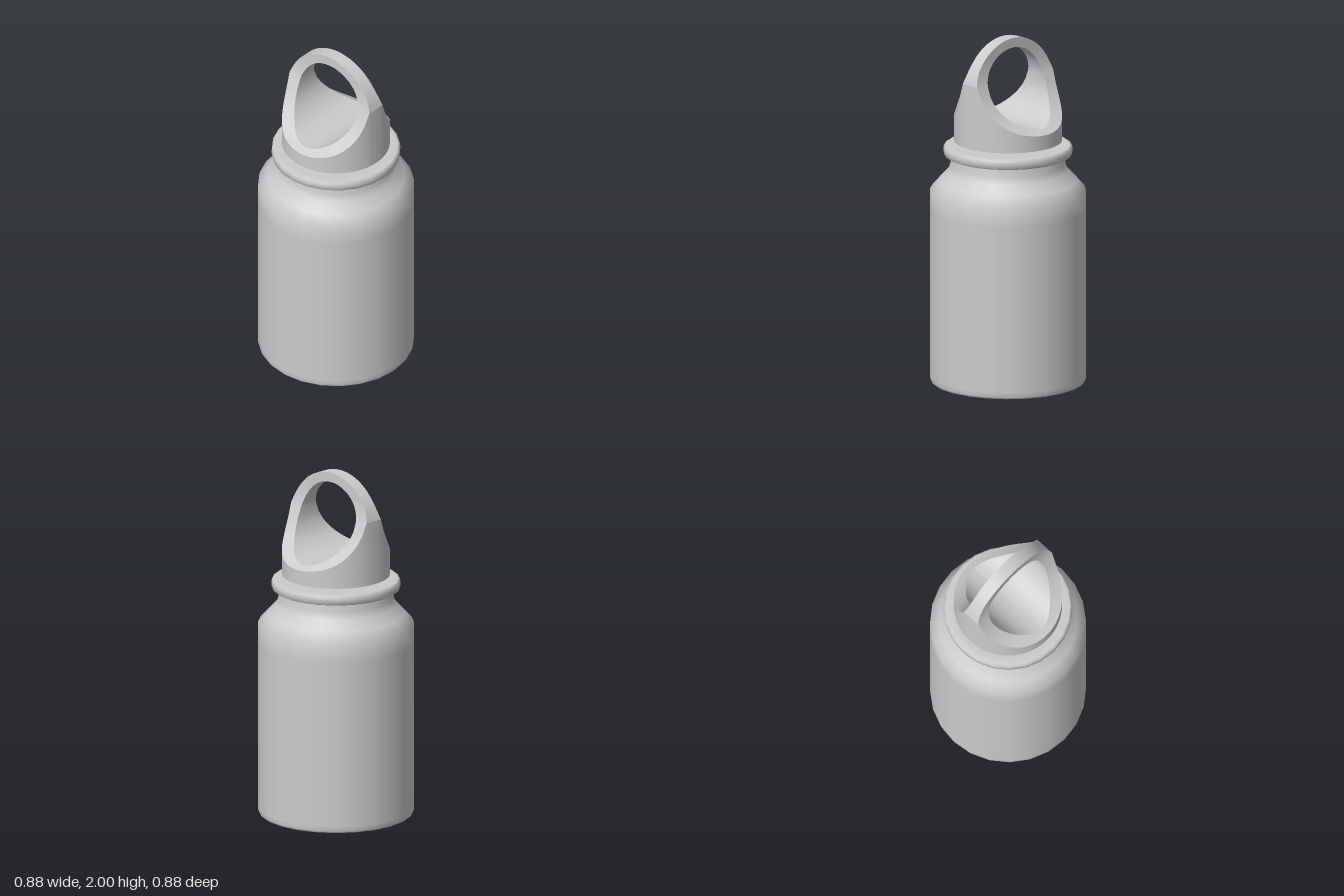
import * as THREE from 'three';

const material = new THREE.MeshStandardMaterial({ color: 0xcccccc, side: THREE.DoubleSide });

// Surface through point(i, j); it faces along (i direction) x (j direction)
function grid(name, n, m, point) {
  const pos = [], index = [];
  for (let i = 0; i <= n; i++) for (let j = 0; j <= m; j++) pos.push(...point(i, j));
  for (let i = 0; i < n; i++) for (let j = 0; j < m; j++) {
    const a = i * (m + 1) + j, b = a + m + 1;
    index.push(a, b, b + 1, a, b + 1, a + 1);
  }
  const g = new THREE.BufferGeometry();
  g.setAttribute('position', new THREE.Float32BufferAttribute(pos, 3));
  g.setIndex(index);
  g.computeVertexNormals();
  const mesh = new THREE.Mesh(g, material);
  mesh.name = name;
  return mesh;
}

function lathe(name, points) {
  const mesh = new THREE.Mesh(
    new THREE.LatheGeometry(points.map(p => new THREE.Vector2(...p)), 24), material);
  mesh.name = name;
  return mesh;
}

// Cap: a cylinder, scooped front and back, with a round top and a round hole
function createCap() {
  const cap = new THREE.Group();
  cap.name = 'cap';
  const BASE = 1.4, R = 0.305;                    // cylinder
  const HOLE_Y = 1.725, HOLE_R = 0.22;            // finger hole
  const ARC_Y = 1.69, ARC_R = 0.31;               // round top
  const THIN = 0.038, SCOOP_Y = 1.9, SCOOP_R = 0.458;
  // Half thickness at a height, and its inverse
  const halfDepth = y => y >= SCOOP_Y ? THIN
    : THIN + SCOOP_R - Math.sqrt(SCOOP_R ** 2 - (SCOOP_Y - y) ** 2);
  const scoopHeight = z => SCOOP_Y - Math.sqrt(SCOOP_R ** 2 - (THIN + SCOOP_R - z) ** 2);

  // Corner where cylinder, scoop and round top meet
  let yj = 1.76, xj = 0.3;
  for (let k = 0; k < 30; k++) {
    xj = Math.sqrt(R ** 2 - halfDepth(yj) ** 2);
    yj = ARC_Y + Math.sqrt(ARC_R ** 2 - xj ** 2);
  }
  const tj = Math.asin(halfDepth(yj) / R), aj = Math.atan2(yj - ARC_Y, xj);

  // Outer edge of the scooped face, counter-clockwise from the bottom
  const N = 14, half = [];
  for (let k = 0; k <= N; k++) {
    const t = Math.PI / 2 + (tj - Math.PI / 2) * k / N;
    half.push([R * Math.cos(t), scoopHeight(R * Math.sin(t))]);
  }
  for (let k = 1; k <= N; k++) {
    const a = aj + (Math.PI / 2 - aj) * k / N;
    half.push([ARC_R * Math.cos(a), ARC_Y + ARC_R * Math.sin(a)]);
  }
  const outer = [...half, ...half.slice(0, -1).reverse().map(([x, y]) => [-x, y])];
  const inner = outer.map(([x, y]) => {
    const d = HOLE_R / Math.hypot(x, y - HOLE_Y);
    return [x * d, HOLE_Y + (y - HOLE_Y) * d];
  });
  const last = outer.length - 1;

  // Scooped faces
  const front = grid('capFrontFace', 5, last, (i, j) => {
    const s = i / 5;
    const x = inner[j][0] + (outer[j][0] - inner[j][0]) * s;
    const y = inner[j][1] + (outer[j][1] - inner[j][1]) * s;
    return [x, y, halfDepth(y)];
  });
  const back = front.clone();
  back.name = 'capBackFace';
  back.rotation.y = Math.PI;

  // Inside of the finger hole
  const hole = grid('fingerHole', last, 2, (i, j) => {
    const [x, y] = inner[i];
    return [x, y, halfDepth(y) * (1 - j)];
  });

  // Round top edge
  const band = grid('loopEdge', 2 * N, 2, (i, j) => {
    const a = aj + (Math.PI - 2 * aj) * i / (2 * N);
    const y = ARC_Y + ARC_R * Math.sin(a);
    return [ARC_R * Math.cos(a), y, halfDepth(y) * (j - 1)];
  });

  // Cylindrical wall, following the scoop along its top
  const quarter = [0, tj / 2];
  for (let k = 0; k <= N; k++) quarter.push(tj + (Math.PI / 2 - tj) * k / N);
  const upper = [...quarter, ...quarter.slice(0, -1).reverse().map(t => Math.PI - t)];
  const angles = [...upper, ...upper.slice(1).map(t => t + Math.PI)];
  const wall = grid('capWall', 1, angles.length - 1, (i, j) => {
    const x = R * Math.cos(angles[j]), z = R * Math.sin(angles[j]);
    if (i === 0) return [x, BASE, z];
    const top = Math.abs(z) > R * Math.sin(tj) ? scoopHeight(Math.abs(z)) : yj;
    return [THREE.MathUtils.clamp(x, -xj, xj), top, z];
  });

  // Underside
  const under = new THREE.Mesh(new THREE.CircleGeometry(R, 48), material);
  under.name = 'capUnderside';
  under.rotation.x = Math.PI / 2;
  under.position.y = BASE;

  cap.add(front, back, hole, band, wall, under);
  return cap;
}

export function createModel() {
  const model = new THREE.Group();
  model.name = 'bottle';

  // Body with shoulder and neck
  model.add(lathe('body', [
    [0, 0], [0.42, 0], [0.432, 0.001], [0.44, 0.012], [0.44, 0.04], [0.44, 1.0], [0.44, 1.115],
    [0.39, 1.17], [0.338, 1.225], [0.325, 1.265], [0.318, 1.32],
  ]));

  // Rolled rim and closed mouth
  model.add(lathe('rim', [
    [0.31, 1.315], [0.35, 1.315], [0.362, 1.322], [0.364, 1.345], [0.362, 1.367],
    [0.35, 1.374], [0.31, 1.374], [0.29, 1.37], [0, 1.37],
  ]));

  model.add(createCap());
  return model;
}
